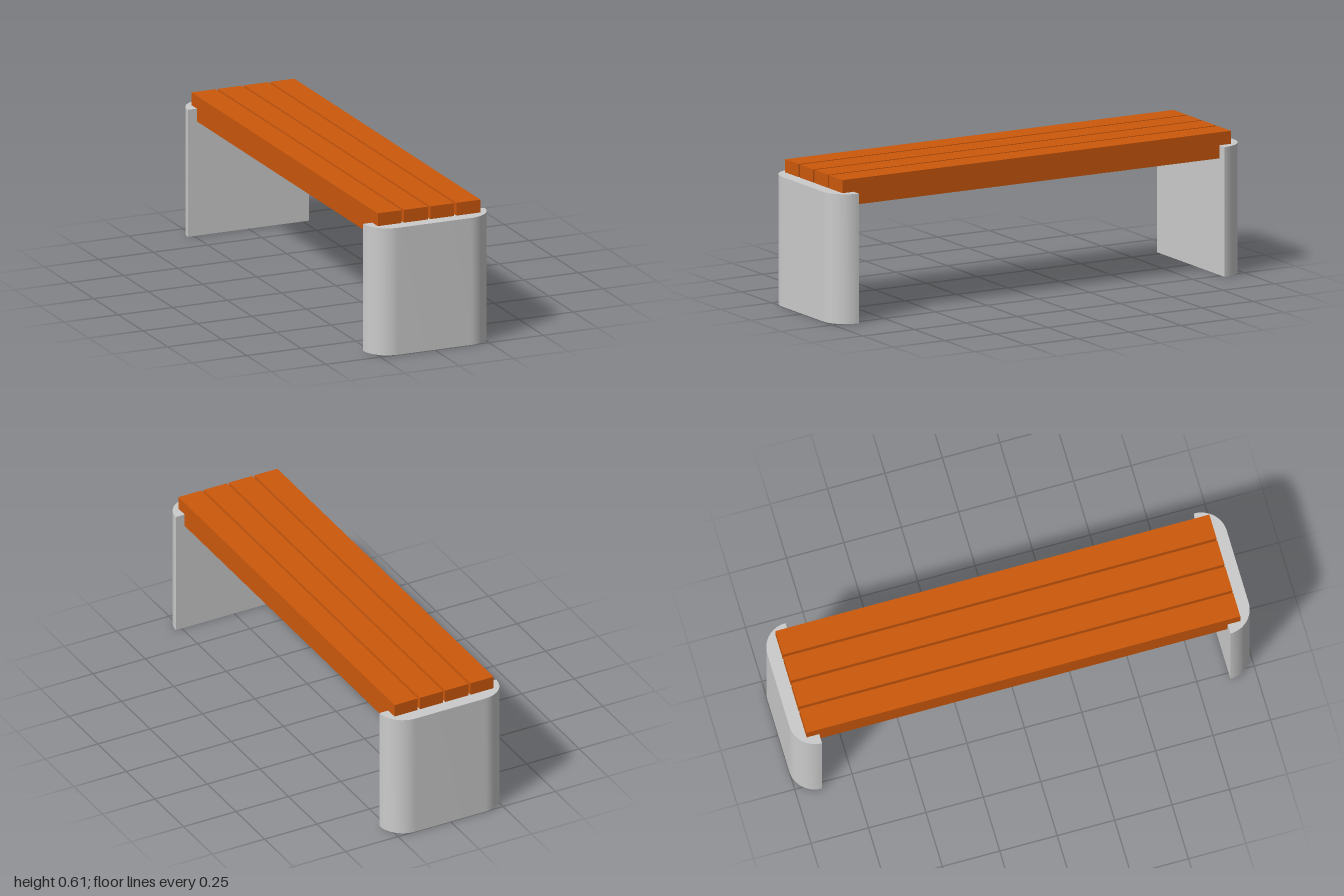
import * as THREE from 'three';
import { toCreasedNormals } from 'three/addons/utils/BufferGeometryUtils.js';

const LEG_H = 0.556, LEG_W = 0.278, LEG_IN = 0.889, RADIUS = 0.111;
const TOP = 0.612, BOTTOM = 0.5, PLANK_END = 0.944, PLANK_W = 0.11, PITCH = 0.1207;

// End slab: flat inner face, outer corners rounded by a quarter circle
function legGeometry() {
  const s = new THREE.Shape();
  s.moveTo(-LEG_W, LEG_IN);
  s.lineTo(LEG_W, LEG_IN);
  s.absarc(LEG_W - RADIUS, LEG_IN, RADIUS, 0, Math.PI / 2, false);
  s.absarc(-LEG_W + RADIUS, LEG_IN, RADIUS, Math.PI / 2, Math.PI, false);
  const g = new THREE.ExtrudeGeometry(s, { depth: LEG_H, bevelEnabled: false, curveSegments: 16 });
  g.rotateX(Math.PI / 2).translate(0, LEG_H, 0);
  return toCreasedNormals(g, 0.5);
}

// Plank: side profile notched at both ends to rest on the legs
function plankGeometry() {
  const s = new THREE.Shape([
    [-LEG_IN, BOTTOM], [LEG_IN, BOTTOM], [LEG_IN, LEG_H], [PLANK_END, LEG_H],
    [PLANK_END, TOP], [-PLANK_END, TOP], [-PLANK_END, LEG_H], [-LEG_IN, LEG_H],
  ].map(([z, y]) => new THREE.Vector2(z, y)));
  const g = new THREE.ExtrudeGeometry(s, { depth: PLANK_W, bevelEnabled: false });
  return g.translate(0, 0, -PLANK_W / 2).rotateY(-Math.PI / 2);
}

export function createModel() {
  const bench = new THREE.Group();
  bench.name = 'bench';
  const concrete = new THREE.MeshStandardMaterial({ color: 0xcccccc });
  const wood = new THREE.MeshStandardMaterial({ color: 0xcc580c });

  // Two legs, the back one turned round
  const legGeo = legGeometry();
  ['frontLeg', 'backLeg'].forEach((name, i) => {
    const leg = new THREE.Mesh(legGeo, concrete);
    leg.name = name;
    leg.rotation.y = i * Math.PI;
    bench.add(leg);
  });

  // Four seat planks with narrow gaps
  const seat = new THREE.Group();
  seat.name = 'seat';
  const plankGeo = plankGeometry();
  for (let i = 0; i < 4; i++) {
    const plank = new THREE.Mesh(plankGeo, wood);
    plank.name = `plank${i + 1}`;
    plank.position.x = (i - 1.5) * PITCH;
    seat.add(plank);
  }
  bench.add(seat);
  return bench;
}
